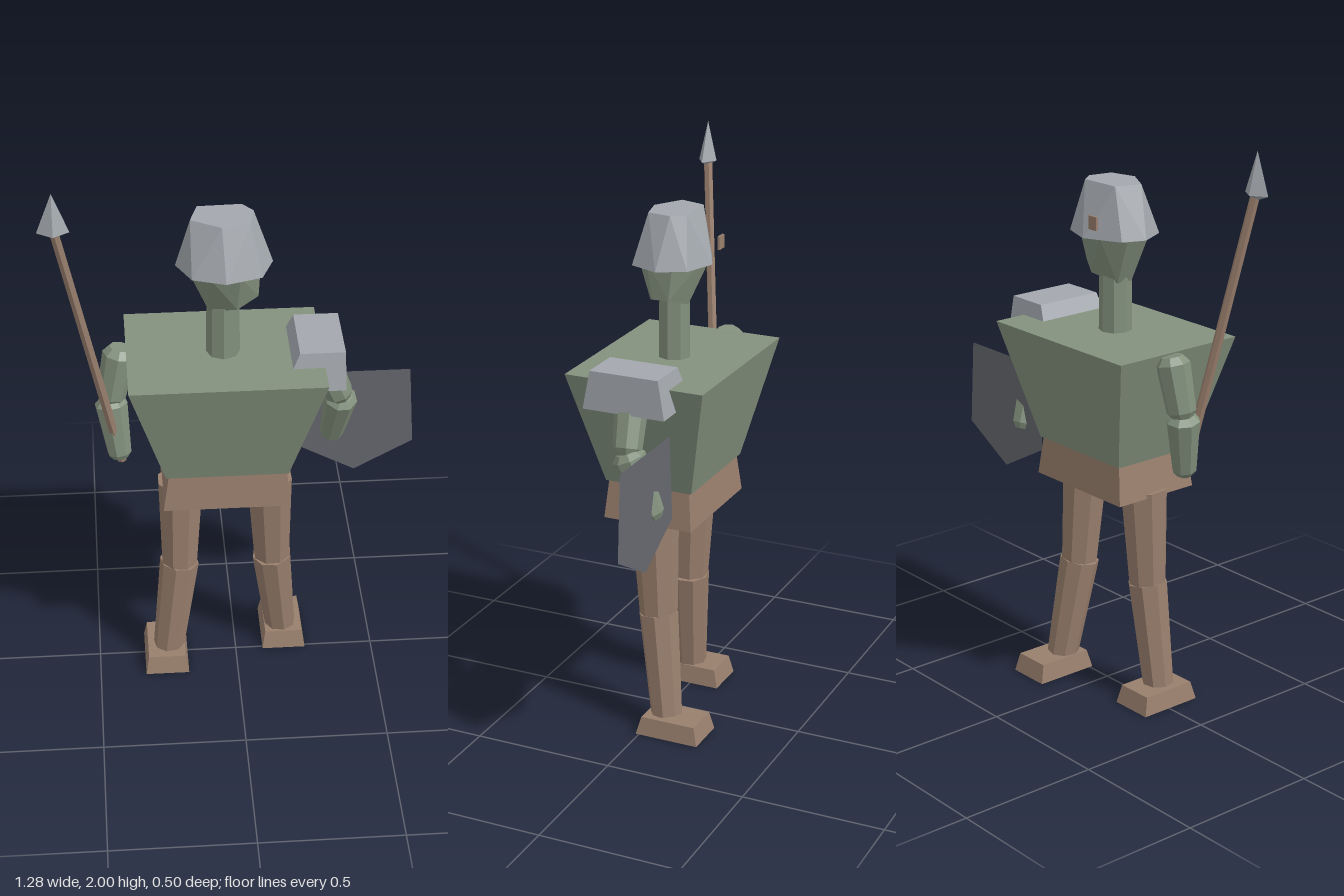
import * as THREE from 'three';
import { ConvexGeometry } from 'three/addons/geometries/ConvexGeometry.js';

const mat = (name, color, extra = {}) =>
  Object.assign(new THREE.MeshStandardMaterial({ color, ...extra }), { name });

export function createModel() {
  const green = mat('green cloth', 0x83917d);
  const brown = mat('brown leather', 0x997f6d);
  const steel = mat('steel', 0xa3a8ae);
  const iron = mat('dark iron', 0x66686f, { side: THREE.DoubleSide });
  const model = new THREE.Group();
  model.name = 'spearman';

  // Adds a faceted part
  function add(name, geometry, material) {
    const g = geometry.index ? geometry.toNonIndexed() : geometry;
    g.computeVertexNormals();
    const mesh = new THREE.Mesh(g, material);
    mesh.name = name;
    model.add(mesh);
    return mesh;
  }

  // Tapered block: bottom and top rectangles given as [x0, x1, z0, z1]
  function block(name, material, y0, bottom, y1, top) {
    const g = new THREE.BoxGeometry(1, 1, 1);
    const p = g.attributes.position;
    for (let i = 0; i < p.count; i++) {
      const up = p.getY(i) > 0;
      const r = up ? top : bottom;
      p.setXYZ(i, p.getX(i) > 0 ? r[1] : r[0], up ? y1 : y0, p.getZ(i) > 0 ? r[3] : r[2]);
    }
    return add(name, g, material);
  }

  // Tapered limb between two points; round bevels the ends
  function limb(name, material, a, b, r0, r1, round = 0, sides = 8) {
    const start = new THREE.Vector3(...a);
    const dir = new THREE.Vector3(...b).sub(start);
    const len = dir.length();
    const profile = [[0, 0]];
    if (round) profile.push([r0 * 0.65, 0]);
    profile.push([r0, round], [r1, len - round]);
    if (round) profile.push([r1 * 0.65, len]);
    profile.push([0, len]);
    const g = new THREE.LatheGeometry(profile.map(p => new THREE.Vector2(...p)), sides);
    const q = new THREE.Quaternion().setFromUnitVectors(new THREE.Vector3(0, 1, 0), dir.normalize());
    g.applyQuaternion(q).translate(...a);
    return add(name, g, material);
  }

  const hull = (name, material, points) =>
    add(name, new ConvexGeometry(points.map(p => new THREE.Vector3(...p))), material);

  // Torso, hips and neck
  block('torso', green, 0.905, [-0.25, 0.17, -0.16, 0.16], 1.313, [-0.37, 0.29, -0.253, 0.25]);
  block('hips', brown, 0.77, [-0.26, 0.18, -0.163, 0.163], 0.905, [-0.24, 0.165, -0.15, 0.15]);
  limb('neck', green, [-0.043, 1.3, 0], [-0.043, 1.52, 0], 0.057, 0.055);

  // Head
  const crown = [];
  for (let i = 0; i < 8; i++) {
    const t = (i + 0.5) * Math.PI / 4;
    crown.push([-0.042 + 0.13 * Math.cos(t), 1.66, 0.12 * Math.sin(t)]);
  }
  hull('head', green, [...crown,
    [0.073, 1.54, 0.03], [0.073, 1.54, -0.03], [0.0, 1.515, 0.07], [0.0, 1.515, -0.07],
    [-0.09, 1.487, 0.03], [-0.09, 1.487, -0.03], [0.078, 1.6, 0]]);

  // Helmet: wide rim narrowing to a small flat crown
  const rim = [[-0.2, 0], [-0.17, -0.08], [-0.04, -0.14], [0.075, -0.1],
    [0.123, -0.005], [0.08, 0.1], [-0.04, 0.137], [-0.15, 0.1]];
  const top = [[-0.15, 0.02], [-0.123, -0.07], [0.025, -0.075],
    [0.06, -0.03], [0.045, 0.055], [-0.05, 0.078]];
  hull('helmet', steel, [...rim.map(([x, z]) => [x, 1.652, z]), ...top.map(([x, z]) => [x, 1.83, z])]);
  block('helmetTag', brown, 1.692, [-0.12, -0.08, -0.148, -0.14], 1.738, [-0.12, -0.08, -0.148, -0.14]);

  // Legs and feet
  const legs = [
    { side: 'right', hip: [-0.195, 0.785, 0], knee: [-0.203, 0.435, 0.012], ankle: [-0.247, 0.06, 0.025], foot: [-0.257, 0.01] },
    { side: 'left', hip: [0.117, 0.785, 0], knee: [0.13, 0.425, -0.02], ankle: [0.169, 0.06, -0.068], foot: [0.177, -0.103] },
  ];
  for (const { side, hip, knee, ankle, foot: [x, z] } of legs) {
    limb(side + 'Thigh', brown, hip, knee, 0.083, 0.066);
    limb(side + 'Shin', brown, knee, ankle, 0.07, 0.056);
    block(side + 'Foot', brown, 0, [x - 0.078, x + 0.078, z - 0.118, z + 0.115],
      0.065, [x - 0.067, x + 0.067, z - 0.102, z + 0.098]);
  }

  // Arms
  const arms = [
    { side: 'right', shoulder: [-0.387, 1.31, -0.05], elbow: [-0.428, 1.1, -0.035], hand: [-0.4, 0.89, 0] },
    { side: 'left', shoulder: [0.28, 1.3, 0], elbow: [0.366, 1.09, -0.015], hand: [0.342, 0.875, -0.105] },
  ];
  for (const { side, shoulder, elbow, hand } of arms) {
    limb(side + 'UpperArm', green, shoulder, elbow, 0.058, 0.05, 0.025);
    limb(side + 'Forearm', green, [elbow[0], elbow[1] + 0.015, elbow[2]], hand, 0.058, 0.042, 0.02);
  }

  // Shoulder plate
  block('shoulderPlate', steel, 1.23, [0.145, 0.36, -0.148, 0.148], 1.365, [0.205, 0.358, -0.125, 0.122]);

  // Shield: a thin five-sided sheet
  const outline = [[0.24, 1.132], [0.22, 0.83], [0.43, 0.715], [0.636, 0.83], [0.616, 1.132]];
  const sheet = new THREE.ShapeGeometry(new THREE.Shape(outline.map(p => new THREE.Vector2(...p))));
  add('shield', sheet.translate(0, 0, -0.113), iron);

  // Spear
  limb('spearShaft', brown, [-0.395, 0.88, 0], [-0.587, 1.86, 0.12], 0.017, 0.016, 0, 6);
  const tip = new THREE.LatheGeometry(
    [[0, 0], [0.053, 0.02], [0, 0.16]].map(p => new THREE.Vector2(...p)), 4);
  add('spearhead', tip.rotateY(Math.PI / 2).scale(1, 1, 0.63).translate(-0.59, 1.84, 0.122), steel);

  return model;
}
